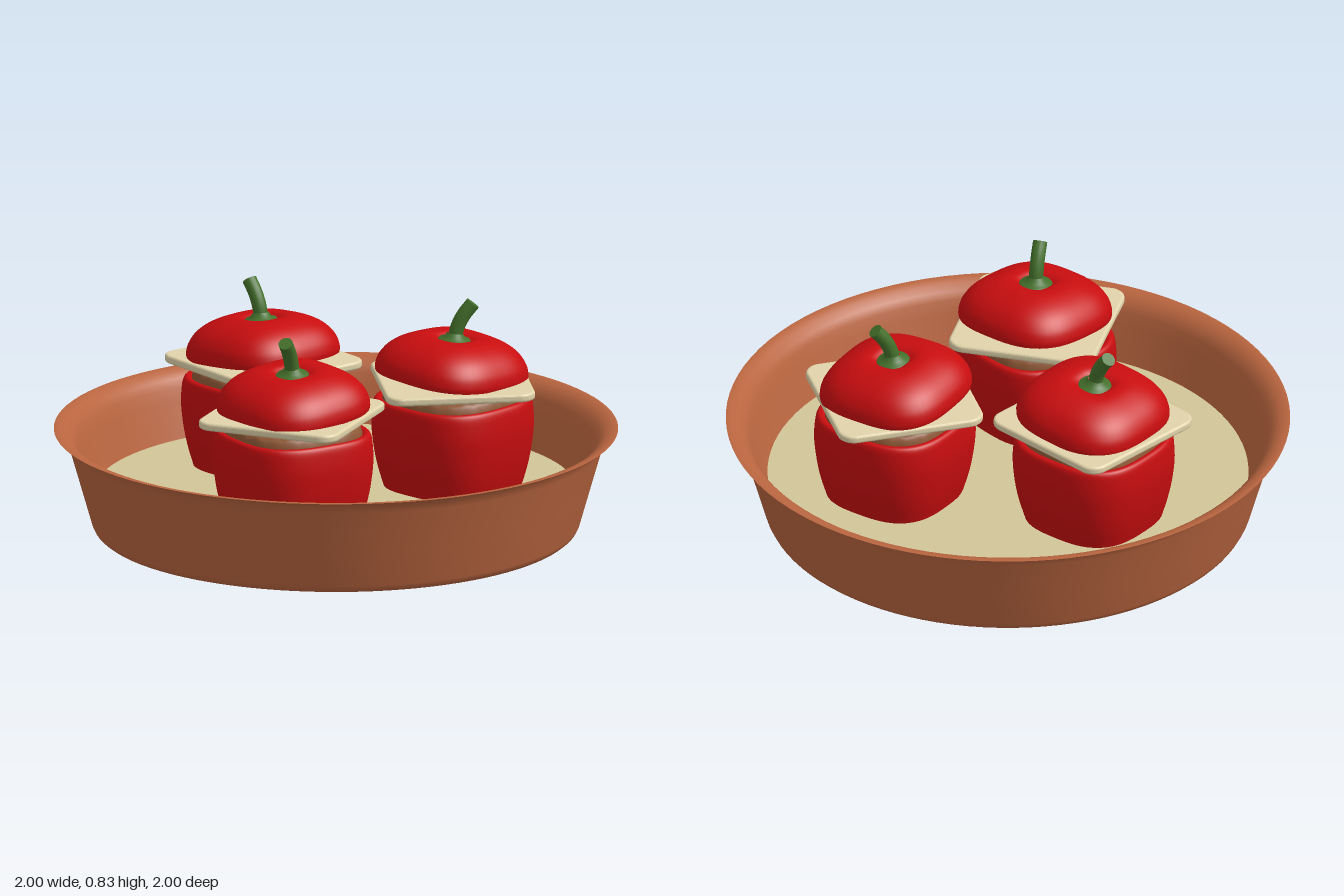
import * as THREE from 'three';
import { mergeVertices } from 'three/addons/utils/BufferGeometryUtils.js';

const mat = (name, color) => {
  const m = new THREE.MeshStandardMaterial({ color });
  m.name = name;
  return m;
};
const deg = THREE.MathUtils.degToRad;
const points = (list) => list.map(([r, y]) => new THREE.Vector2(r, y));

function part(name, geometry, material, parent) {
  const mesh = new THREE.Mesh(geometry, material);
  mesh.name = name;
  parent.add(mesh);
  return mesh;
}

// Lathe whose round section is pushed into a soft four-lobed square, corners on the axes
function lobedLathe(profile, lobe, bump = 0) {
  const curve = new THREE.SplineCurve(points(profile)).getPoints(profile.length * 5);
  curve.forEach((p) => { p.x = Math.max(p.x, 0); });
  let geo = new THREE.LatheGeometry(curve, 64);
  geo.deleteAttribute('uv');
  geo.deleteAttribute('normal');
  geo = mergeVertices(geo, 1e-4);
  const pos = geo.attributes.position;
  for (let i = 0; i < pos.count; i++) {
    const x = pos.getX(i), y = pos.getY(i), z = pos.getZ(i);
    const f = 1 + lobe * Math.cos(4 * Math.atan2(z, x));
    const b = bump * Math.sin(x * 75 + z * 22) * Math.sin(z * 68 - x * 31);
    pos.setXYZ(i, x * f, y + b, z * f);
  }
  geo.computeVertexNormals();
  return geo;
}

// Rounded square slice lying flat
function sliceGeometry(half, r) {
  const s = new THREE.Shape();
  const c = half - r;
  s.absarc(c, c, r, 0, Math.PI / 2);
  s.absarc(-c, c, r, Math.PI / 2, Math.PI);
  s.absarc(-c, -c, r, Math.PI, Math.PI * 1.5);
  s.absarc(c, -c, r, Math.PI * 1.5, Math.PI * 2);
  const geo = new THREE.ExtrudeGeometry(s, {
    depth: 0.01, bevelThickness: 0.01, bevelSize: 0.01, bevelSegments: 4, curveSegments: 10,
  });
  geo.translate(0, 0, -0.005);
  return geo.rotateX(-Math.PI / 2);
}

export function createModel() {
  const model = new THREE.Group();
  model.name = 'stuffedPeppersInDish';
  const terracotta = mat('terracotta', 0xb9653f);
  const cream = mat('cream sauce', 0xd2c598);
  const red = mat('pepper red', 0xc80d0f);
  const green = mat('stem green', 0x44702b);
  const cheese = mat('cheese', 0xe0d3aa);
  const meat = mat('meat filling', 0x8e5836);

  // Dish
  const dish = new THREE.Group();
  dish.name = 'dish';
  model.add(dish);
  part('dishBase', new THREE.CircleGeometry(0.83, 96).rotateX(Math.PI / 2), terracotta, dish);
  part('dishOuterWall', new THREE.LatheGeometry(points([
    [0.83, 0], [0.845, 0.004], [0.857, 0.014], [0.865, 0.03], [0.905, 0.17], [0.948, 0.32],
    [0.958, 0.345], [0.972, 0.36], [1, 0.37],
  ]), 96), terracotta, dish);
  part('dishInnerWall', new THREE.LatheGeometry(points([
    [1, 0.37], [0.985, 0.371], [0.96, 0.362], [0.935, 0.343], [0.92, 0.315], [0.905, 0.27],
    [0.87, 0.16], [0.85, 0.1],
  ]), 96), terracotta, dish);
  part('sauce', new THREE.CylinderGeometry(0.852, 0.85, 0.04, 96), cream, model).position.y = 0.127;

  // Shared pepper shapes
  const bodyGeo = lobedLathe([
    [0, 0.09], [0.15, 0.09], [0.215, 0.11], [0.24, 0.17], [0.262, 0.26], [0.274, 0.36],
    [0.272, 0.43], [0.265, 0.464], [0.25, 0.472], [0.235, 0.462], [0.225, 0.43],
  ], 0.05);
  const fillingGeo = lobedLathe([
    [0.24, 0.43], [0.238, 0.475], [0.215, 0.502], [0.13, 0.512], [0, 0.515],
  ], 0.04, 0.005);
  const lidGeo = lobedLathe([
    [0.258, 0], [0.26, 0.02], [0.25, 0.055], [0.222, 0.092], [0.18, 0.12],
    [0.125, 0.139], [0.08, 0.139], [0.045, 0.122], [0, 0.115],
  ], 0.05);
  const lidBaseGeo = lobedLathe([[0, 0.006], [0.13, 0.004], [0.258, 0]], 0.05);
  const sliceGeo = sliceGeometry(0.256, 0.05);
  const stemCurve = new THREE.CatmullRomCurve3([
    new THREE.Vector3(0, 0.1, 0), new THREE.Vector3(0, 0.17, 0.006),
    new THREE.Vector3(0, 0.22, 0.025), new THREE.Vector3(0, 0.265, 0.055),
  ]);
  const stemGeo = new THREE.TubeGeometry(stemCurve, 16, 0.026, 16);
  const calyxGeo = new THREE.LatheGeometry(points([
    [0.062, 0.124], [0.055, 0.133], [0.038, 0.137], [0.027, 0.155],
  ]), 24);

  // Peppers around the dish, each leaning outward; corner angles are for body and lid
  const spots = [[0, 9, 17], [120, 23, 24], [-120, 20, 20]];
  for (const [azimuth, bodyTurn, lidTurn] of spots) {
    const turn = new THREE.Group();
    turn.name = 'stuffedPepper';
    turn.rotation.y = deg(azimuth);
    model.add(turn);
    const pepper = new THREE.Group();
    pepper.name = 'pepperStack';
    pepper.position.z = 0.418;
    turn.add(pepper);

    part('pepperBody', bodyGeo, red, pepper).rotation.y = deg(bodyTurn - azimuth);
    part('meatFilling', fillingGeo, meat, pepper).rotation.y = deg(bodyTurn - azimuth);
    const slice = part('cheeseSlice', sliceGeo, cheese, pepper);
    slice.position.set(-0.005, 0.527, 0);
    slice.rotation.y = deg(-1);

    const lid = new THREE.Group();
    lid.name = 'pepperLid';
    lid.position.set(0, 0.55, -0.005);
    lid.rotation.x = deg(5);
    pepper.add(lid);
    part('lidDome', lidGeo, red, lid).rotation.y = deg(lidTurn - azimuth);
    part('lidUnderside', lidBaseGeo, red, lid).rotation.y = deg(lidTurn - azimuth);
    part('stemCalyx', calyxGeo, green, lid);
    part('stem', stemGeo, green, lid);
    const tip = part('stemTip', new THREE.CircleGeometry(0.026, 16), green, lid);
    tip.position.copy(stemCurve.getPoint(1));
    tip.quaternion.setFromUnitVectors(new THREE.Vector3(0, 0, 1), stemCurve.getTangent(1));
  }
  return model;
}
